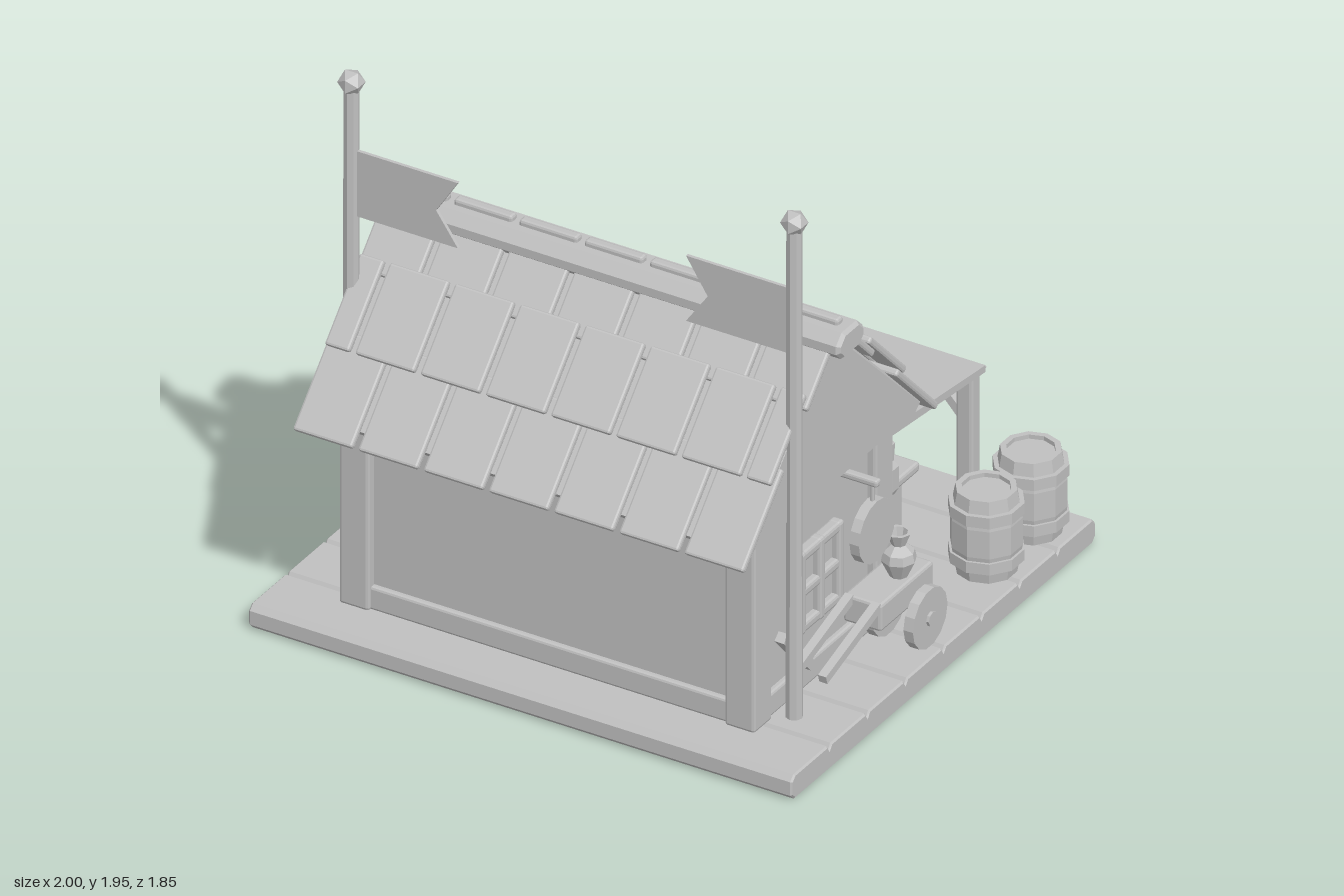
import * as THREE from 'three';
import { RoundedBoxGeometry } from 'three/addons/geometries/RoundedBoxGeometry.js';

const grey = new THREE.MeshStandardMaterial({ color: 0xc0c0c0, flatShading: true, side: THREE.DoubleSide });
grey.name = 'plain grey';

function add(parent, name, geometry, x = 0, y = 0, z = 0) {
  const mesh = new THREE.Mesh(geometry, grey);
  mesh.name = name;
  mesh.position.set(x, y, z);
  parent.add(mesh);
  return mesh;
}

// Chamfered box given by its limits on each axis
function box(parent, name, x0, x1, y0, y1, z0, z1, bevel = 0.01) {
  const w = x1 - x0, h = y1 - y0, d = z1 - z0;
  const r = Math.min(bevel, w * 0.3, h * 0.3, d * 0.3);
  return add(parent, name, new RoundedBoxGeometry(w, h, d, 1, r), (x0 + x1) / 2, (y0 + y1) / 2, (z0 + z1) / 2);
}

// Square beam between two points
function beam(parent, name, a, b, size) {
  const p = new THREE.Vector3(...a), q = new THREE.Vector3(...b);
  const mesh = add(parent, name, new THREE.BoxGeometry(size, size, p.distanceTo(q)));
  mesh.position.copy(p).add(q).multiplyScalar(0.5);
  mesh.lookAt(q);
  return mesh;
}

function extrude(points, depth, bevel = 0) {
  const shape = new THREE.Shape(points.map(([x, y]) => new THREE.Vector2(x, y)));
  return new THREE.ExtrudeGeometry(shape, {
    depth: depth - 2 * bevel, bevelEnabled: bevel > 0, bevelSize: bevel,
    bevelThickness: bevel, bevelOffset: -bevel, bevelSegments: 1,
  }).translate(0, 0, -depth / 2 + bevel);
}

function lathe(points, sides) {
  return new THREE.LatheGeometry(points.map(([r, y]) => new THREE.Vector2(r, y)), sides);
}

const vase = (parent, x, y, z, s = 1) => add(parent, 'vase', lathe(
  [[0, 0], [0.03, 0], [0.058, 0.06], [0.052, 0.09], [0.024, 0.115], [0.042, 0.16], [0.03, 0.16], [0.02, 0.12], [0, 0.12]], 8), x, y, z).scale.setScalar(s);

function crate(parent, x, y, z, size, height, turn) {
  const g = new THREE.Group();
  g.name = 'crate';
  g.position.set(x, y, z);
  g.rotation.y = turn;
  const s = size / 2, c = s * 0.88;
  box(g, 'crateBody', -c, c, 0, height, -c, c);
  box(g, 'crateLowerBand', -s, s, 0.01, height * 0.3, -s, s);
  box(g, 'crateUpperBand', -s, s, height * 0.6, height * 0.9, -s, s);
  parent.add(g);
}

export function createModel() {
  const model = new THREE.Group();
  model.name = 'marketHouse';

  // Plank platform: grooved profile run along x
  const floor = [[-0.92, 0.02], [-0.9, 0], [0.9, 0], [0.92, 0.02], [0.92, 0.07], [0.9, 0.09]];
  for (let i = 7; i >= 1; i--) {
    const z = -0.92 + i * 0.23;
    floor.push([z + 0.012, 0.09], [z, 0.072], [z - 0.012, 0.09]);
  }
  floor.push([-0.9, 0.09], [-0.92, 0.07]);
  add(model, 'platform', extrude(floor, 2, 0.006)).rotation.y = -Math.PI / 2;

  // Walls with corner posts and rails
  const house = new THREE.Group();
  house.name = 'house';
  model.add(house);
  box(house, 'walls', -0.735, 0.735, 0.085, 0.84, -0.05, 0.725);
  for (const s of [-1, 1]) {
    for (const z of [0.705, -0.03]) box(house, 'cornerPost', s * 0.71 - 0.055, s * 0.71 + 0.055, 0.09, 0.82, z - 0.055, z + 0.055);
    for (const [y0, y1] of [[0.09, 0.175], [0.765, 0.81]])
      box(house, 'sideRail', s * 0.74 - 0.015, s * 0.74 + 0.015, y0, y1, 0, 0.67);
  }
  for (const z of [0.73, -0.055])
    for (const [y0, y1] of [[0.09, 0.175], [0.765, 0.81]])
      box(house, 'rail', -0.67, 0.67, y0, y1, z - 0.015, z + 0.015);

  // Gable block
  add(house, 'gable', extrude([[-0.85, 0.8], [0.16, 0.8], [0.2, 0.83], [-0.34, 1.37], [-0.88, 0.83]], 1.6, 0.01))
    .rotation.y = Math.PI / 2;

  // Shingles: three rows on each slope, the middle row raised
  const a = 0.803;
  const rows = [[0.06, 0.28, 0.012, 0], [0.235, 0.545, 0.042, 1], [0.48, 0.83, 0.014, 0]];
  for (const s of [-1, 1]) for (const [t0, t1, n, odd] of rows) {
    const t = (t0 + t1) / 2;
    const place = (x, w) => add(house, 'shingle', new RoundedBoxGeometry(w, 0.026, t1 - t0, 1, 0.008), x,
      1.38 - t * Math.sin(a) + n * Math.cos(a), 0.34 + s * (t * Math.cos(a) + n * Math.sin(a))).rotation.x = s * a;
    for (let i = 0; i < 7 - odd; i++) place((i - 3 + odd / 2) * 0.24, 0.218);
    if (odd) for (const e of [-1, 1]) place(e * 0.775, 0.09);
  }

  // Ridge beam with caps
  add(house, 'ridgeBeam', extrude([[-0.08, 1.34], [-0.05, 1.31], [0.05, 1.31], [0.08, 1.34], [0.08, 1.37], [0.045, 1.405], [-0.045, 1.405], [-0.08, 1.37]], 1.74, 0.012), 0, 0, 0.34).rotation.y = Math.PI / 2;
  for (let i = -3; i <= 3; i++) box(house, 'ridgeCap', i * 0.24 - 0.107, i * 0.24 + 0.107, 1.395, 1.425, 0.322, 0.358);

  // Flag poles
  for (const s of [-1, 1]) {
    const g = new THREE.Group();
    g.name = 'flagPole';
    g.position.set(s * 0.815, 0, 0.6);
    add(g, 'pole', new THREE.CylinderGeometry(0.026, 0.028, 1.81, 8), 0, 0.99, 0);
    add(g, 'finial', new THREE.IcosahedronGeometry(0.045, 0), 0, 1.91, 0);
    const f = [[0, 1.665], [0.395, 1.665], [0.315, 1.54], [0.395, 1.425], [0, 1.425]];
    add(g, 'flag', extrude(f.map(([x, y]) => [-s * x, y]), 0.012));
    model.add(g);
  }

  // Awning with posts, braces and pennants
  const awning = new THREE.Group();
  awning.name = 'awning';
  model.add(awning);
  add(awning, 'canopy', extrude([[0.07, 0.785], [0.64, 0.72], [0.64, 0.695], [0.07, 0.755]], 1.53)).rotation.y = Math.PI / 2;
  for (const s of [-1, 1]) {
    box(awning, 'awningPost', s * 0.72 - 0.03, s * 0.72 + 0.03, 0.09, 0.705, -0.635, -0.58);
    beam(awning, 'brace', [s * 0.72, 0.52, -0.607], [s * 0.56, 0.695, -0.607], 0.03);
  }
  box(awning, 'awningBeam', -0.72, 0.72, 0.665, 0.7, -0.625, -0.59);
  for (let i = 0; i < 9; i++)
    add(awning, 'pennant', extrude([[-0.085, 0.71], [0, 0.59], [0.085, 0.71]], 0.008), (i - 4) * 0.17, 0, -0.645);

  // Counter and goods
  const stall = new THREE.Group();
  stall.name = 'stall';
  model.add(stall);
  box(stall, 'counterBody', -0.27, 0.57, 0.09, 0.36, -0.46, -0.215);
  box(stall, 'counterTop', -0.31, 0.61, 0.355, 0.39, -0.5, -0.185);
  for (const [x, s] of [[-0.22, 1], [-0.1, 0.85], [0.52, 1]]) vase(stall, x, 0.39, -0.37, s);
  box(stall, 'tray', 0.12, 0.34, 0.39, 0.42, -0.42, -0.28);
  for (const x of [0.17, 0.28]) add(stall, 'loaf', new THREE.IcosahedronGeometry(0.045, 0), x, 0.44, -0.35);
  add(stall, 'bottle', lathe([[0, 0], [0.035, 0], [0.035, 0.09], [0.013, 0.11], [0.013, 0.19], [0, 0.19]], 8), 0.42, 0.39, -0.3);
  add(stall, 'lampPost', new THREE.CylinderGeometry(0.02, 0.022, 0.39, 6), 0.68, 0.285, -0.185);
  add(stall, 'lamp', lathe([[0, 0.46], [0.025, 0.46], [0.036, 0.48], [0.036, 0.56], [0.02, 0.58], [0.025, 0.645], [0, 0.65]], 6), 0.68, 0, -0.185);
  box(stall, 'wallBoard', 0.35, 0.6, 0.33, 0.6, -0.115, -0.06);

  // Window in the left wall
  const win = new THREE.Group();
  win.name = 'window';
  model.add(win);
  box(win, 'windowBack', 0.73, 0.748, 0.33, 0.59, 0.25, 0.47);
  for (const z of [0.245, 0.36, 0.475]) box(win, 'windowUpright', 0.73, 0.775, 0.31, 0.61, z - 0.018, z + 0.018);
  for (const y of [0.33, 0.46, 0.59]) box(win, 'windowBar', 0.73, 0.773, y - 0.018, y + 0.018, 0.23, 0.49);
  beam(model, 'wallBrace', [0.755, 0.35, 0.58], [0.755, 0.17, 0.42], 0.035);

  // Hanging round sign
  const sign = new THREE.Group();
  sign.name = 'hangingSign';
  model.add(sign);
  box(sign, 'bracket', 0.74, 0.89, 0.755, 0.78, 0.195, 0.225);
  box(sign, 'hanger', 0.858, 0.872, 0.68, 0.765, 0.203, 0.217);
  add(sign, 'signDisc', new THREE.CylinderGeometry(0.11, 0.11, 0.035, 16), 0.865, 0.59, 0.21).rotation.z = Math.PI / 2;

  // Handcart with a vase
  const cart = new THREE.Group();
  cart.name = 'handcart';
  model.add(cart);
  box(cart, 'cartBody', 0.775, 0.915, 0.24, 0.34, -0.08, 0.24);
  for (const x of [0.795, 0.945]) {
    add(cart, 'wheel', new THREE.CylinderGeometry(0.105, 0.105, 0.035, 14), x, 0.195, 0.02).rotation.z = Math.PI / 2;
    add(cart, 'hub', new THREE.CylinderGeometry(0.025, 0.025, 0.055, 8), x, 0.195, 0.02).rotation.z = Math.PI / 2;
  }
  for (const x of [0.795, 0.895]) beam(cart, 'handle', [x, 0.33, 0.23], [x, 0.23, 0.56], 0.03);
  vase(cart, 0.865, 0.34, 0.05);

  // Barrels
  for (const z of [-0.75, -0.48]) {
    const g = new THREE.Group();
    g.name = 'barrel';
    g.position.set(0.865, 0.09, z);
    add(g, 'barrelBody', lathe([[0, 0], [0.1, 0], [0.118, 0.1], [0.118, 0.2], [0.1, 0.3], [0.08, 0.3], [0.08, 0.285], [0, 0.285]], 10));
    for (const y of [0.065, 0.235]) add(g, 'barrelBand', lathe([[0.108, -0.02], [0.124, -0.02], [0.124, 0.02], [0.108, 0.02]], 10), 0, y, 0);
    model.add(g);
  }

  // Stacked crates
  crate(model, -0.82, 0.09, -0.77, 0.22, 0.2, 0);
  crate(model, -0.815, 0.29, -0.775, 0.17, 0.17, 0.4);

  return model;
}
